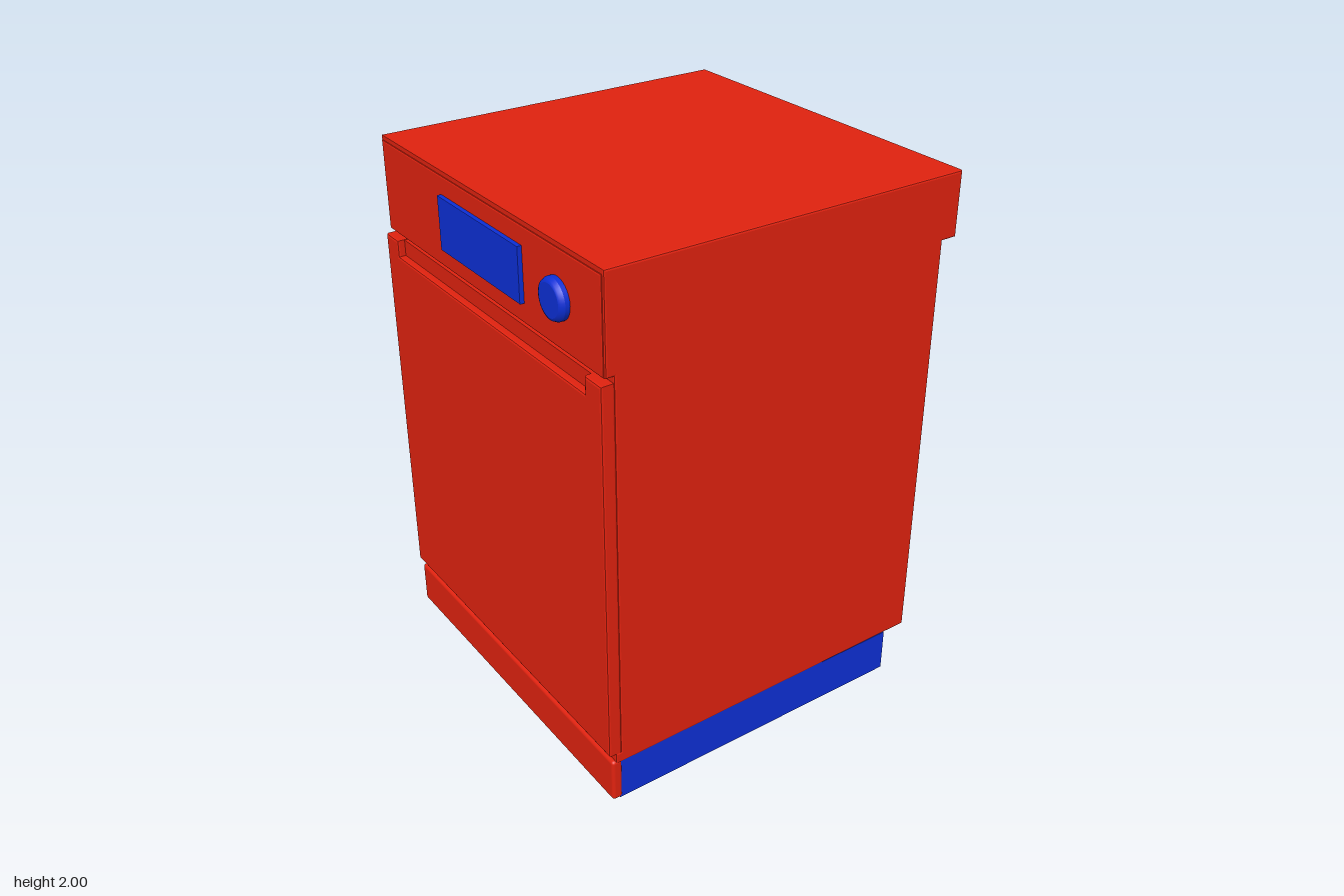
import * as THREE from 'three';
import { RoundedBoxGeometry } from 'three/addons/geometries/RoundedBoxGeometry.js';

const red = new THREE.MeshStandardMaterial({ color: 0xe0220f });
const blue = new THREE.MeshStandardMaterial({ color: 0x0d2fd6 });

const shapeOf = (pts) => new THREE.Shape(pts.map(([a, b]) => new THREE.Vector2(a, b)));

// Extrusion from 0 to depth with a bevel kept inside the outline
function slab(pts, depth, bevel) {
  const g = new THREE.ExtrudeGeometry(shapeOf(pts), {
    depth: depth - 2 * bevel, bevelThickness: bevel, bevelSize: bevel,
    bevelOffset: -bevel, bevelSegments: 2,
  });
  return g.translate(0, 0, bevel);
}

const rect = (x0, y0, x1, y1) => [[x0, y0], [x1, y0], [x1, y1], [x0, y1]];

// Hollow pipe along y, closed at both rims
function pipe(outer, inner, length) {
  const h = length / 2;
  const p = [[inner, -h], [outer, -h], [outer, h], [inner, h], [inner, -h]];
  // doubled corners keep the rims crisp
  const pts = p.flatMap(([r, y], i) => (i ? [[r, y], [r, y]] : [[r, y]]));
  return new THREE.LatheGeometry(pts.map(([r, y]) => new THREE.Vector2(r, y)), 28);
}

export function createModel() {
  const group = new THREE.Group();
  const add = (name, geometry, material, x = 0, y = 0, z = 0) => {
    const mesh = new THREE.Mesh(geometry, material);
    mesh.name = name;
    mesh.position.set(x, y, z);
    group.add(mesh);
    return mesh;
  };

  // Cabinet: side profile (z, y) with the worktop overhanging the back
  const cabinet = slab([
    [0.675, 0.19], [0.675, 0.235], [0.655, 0.235], [0.655, 1.66], [0.684, 1.66], [0.684, 2],
    [-0.692, 2], [-0.692, 1.77], [-0.632, 1.77], [-0.632, 0.2], [-0.54, 0.2],
  ], 1.4, 0.007);
  cabinet.rotateY(-Math.PI / 2).translate(0.7, 0, 0);
  add('cabinet', cabinet, red);

  // Control panel face, display and dial
  add('controlPanel', slab(rect(-0.692, 1.66, 0.692, 1.985), 0.03, 0.006), red, 0, 0, 0.658);
  add('display', slab(rect(-0.26, 1.73, 0.255, 1.92), 0.03, 0.002), blue, 0, 0, 0.674);
  const dial = new THREE.LatheGeometry(
    [[0.07, 0], [0.07, 0.02], [0.07, 0.02], [0.064, 0.032], [0.055, 0.036], [0.055, 0.036], [0, 0.036]]
      .map(([r, y]) => new THREE.Vector2(r, y)), 36);
  add('dial', dial.rotateX(Math.PI / 2), blue, 0.455, 1.825, 0.684);

  // Door with a grip recess cut from its top edge
  add('door', slab([
    [-0.7, 0.235], [0.7, 0.235], [0.7, 1.64], [0.61, 1.64],
    [0.61, 1.58], [-0.61, 1.58], [-0.61, 1.64], [-0.7, 1.64],
  ], 0.05, 0.008), red, 0, 0, 0.652);
  add('gripRecess', new THREE.BoxGeometry(1.23, 0.065, 0.02), red, 0, 1.606, 0.665);

  // Plinth: kick plate, base tray and its tapered underside
  add('kickPlate', new RoundedBoxGeometry(1.4, 0.17, 0.04, 3, 0.012), red, 0, 0.116, 0.67);
  add('base', new THREE.BoxGeometry(1.394, 0.168, 1.2), blue, 0, 0.114, 0.06);
  const tray = new THREE.BoxGeometry(1.394, 0.03, 1.2);
  const pos = tray.attributes.position;
  for (let i = 0; i < pos.count; i++) {
    if (pos.getY(i) < 0) {
      pos.setX(i, pos.getX(i) * 0.86);
      pos.setZ(i, pos.getZ(i) * 0.93);
    }
  }
  tray.computeVertexNormals();
  add('baseUnderside', tray, blue, 0, 0.015, 0.06);

  // Rear cover in two stepped layers
  add('rearCover', new THREE.BoxGeometry(1.28, 1.49, 0.012), blue, 0, 1.005, -0.633);
  add('rearCoverPanel', slab(rect(-0.615, 0.285, 0.615, 1.725), 0.012, 0.004), blue, 0, 0, -0.645);

  // Hose clips, lying along x
  for (const side of [-1, 1]) {
    const clip = pipe(0.041, 0.025, 0.08).rotateZ(Math.PI / 2);
    add(side > 0 ? 'leftHoseClip' : 'rightHoseClip', clip, blue, side * 0.35, 1.645, -0.677);
  }

  // Drain outlet with a recessed plug
  add('drainOutlet', pipe(0.075, 0.045, 0.08).rotateX(Math.PI / 2), blue, 0.52, 0.122, -0.575);
  add('drainPlug', new THREE.CylinderGeometry(0.046, 0.046, 0.03, 28).rotateX(Math.PI / 2),
    blue, 0.52, 0.122, -0.55);

  return group;
}
